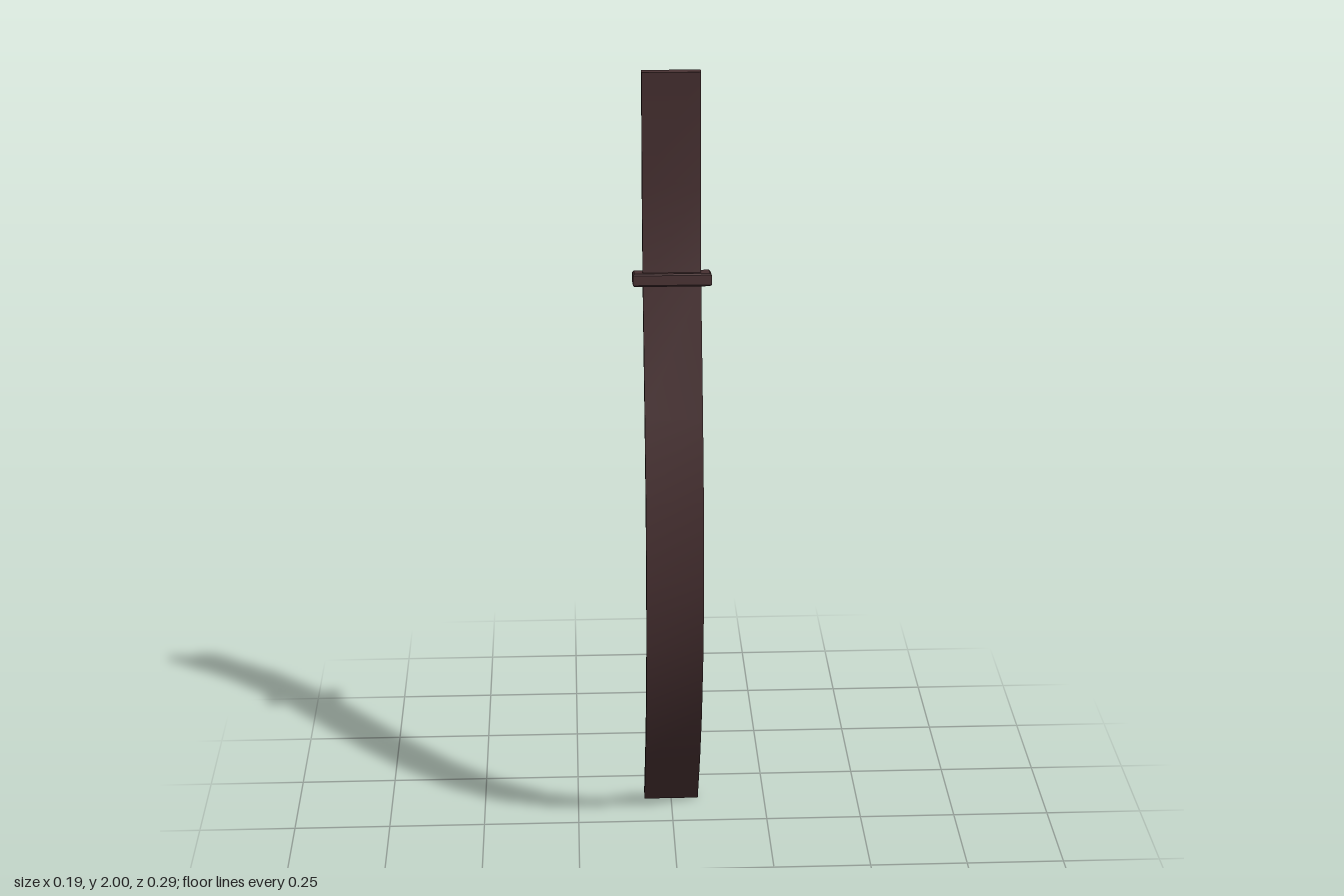
import * as THREE from 'three';
import { toCreasedNormals } from 'three/addons/utils/BufferGeometryUtils.js';

// Centre line of the strap as [z, y], bottom to top
const PATH = [
  [-0.133, 0.007], [-0.02, 0.19], [0.06, 0.357], [0.12, 0.57], [0.13, 0.76],
  [0.104, 0.962], [0.048, 1.16], [-0.065, 1.475], [-0.108, 1.725], [-0.111, 2],
];
const WIDTH = 0.144;
const THICKNESS = 0.027;

// Side outline: the centre line offset to both sides
function strapGeometry() {
  const pts = PATH.map(([z, y]) => new THREE.Vector2(z, y));
  const front = [], back = [];
  pts.forEach((p, i) => {
    const a = pts[Math.max(i - 1, 0)], b = pts[Math.min(i + 1, pts.length - 1)];
    const t = b.clone().sub(a).normalize();
    if (i === pts.length - 1) t.set(0, 1); // level top end
    const n = new THREE.Vector2(t.y, -t.x).multiplyScalar(THICKNESS / 2);
    front.push(p.clone().add(n));
    back.unshift(p.clone().sub(n));
  });
  const geo = new THREE.ExtrudeGeometry(new THREE.Shape([...front, ...back]), {
    depth: WIDTH, bevelEnabled: false,
  });
  // Shape x becomes z, extrusion runs along x
  geo.translate(0, 0, -WIDTH / 2).rotateY(-Math.PI / 2);
  return toCreasedNormals(geo, 0.6);
}

// Chamfered rectangular loop around the strap
function loopGeometry(w, h, d, bevel) {
  const x = w / 2 - bevel, z = d / 2 - bevel;
  const shape = new THREE.Shape([
    new THREE.Vector2(-x, -z), new THREE.Vector2(x, -z),
    new THREE.Vector2(x, z), new THREE.Vector2(-x, z),
  ]);
  const geo = new THREE.ExtrudeGeometry(shape, {
    depth: h - 2 * bevel, bevelThickness: bevel, bevelSize: bevel, bevelSegments: 1,
  });
  geo.translate(0, 0, bevel - h / 2).rotateX(-Math.PI / 2);
  return geo;
}

export function createModel() {
  const group = new THREE.Group();
  group.name = 'strapWithLoop';
  const leather = new THREE.MeshStandardMaterial({ color: 0x483132 });
  leather.name = 'darkBrownLeather';

  const strap = new THREE.Mesh(strapGeometry(), leather);
  strap.name = 'strap';

  const loop = new THREE.Mesh(loopGeometry(0.194, 0.032, 0.07, 0.004), leather);
  loop.name = 'keeperLoop';
  loop.position.set(0, 1.49, -0.067);
  loop.rotation.x = -0.17;

  group.add(strap, loop);
  return group;
}
